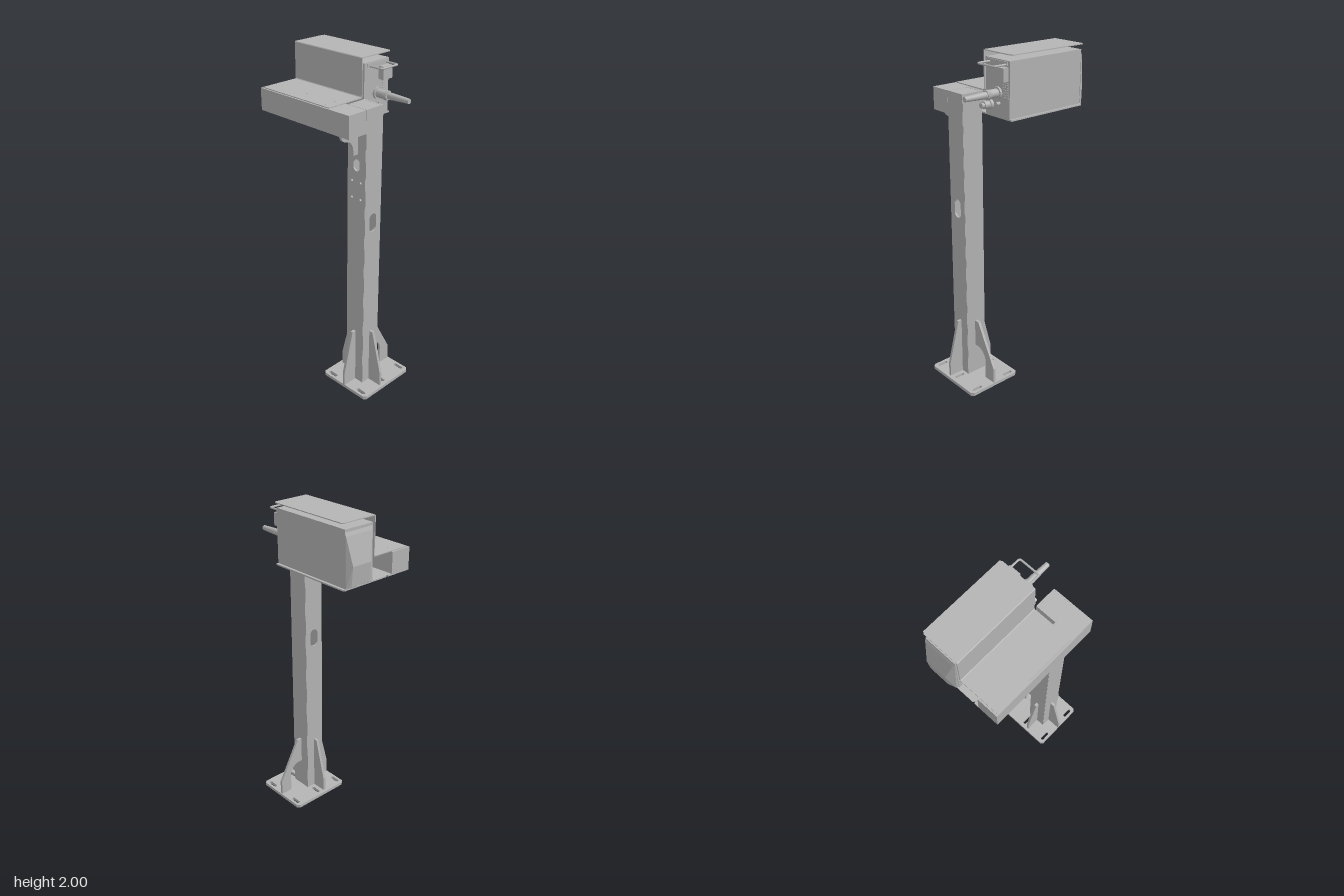
import * as THREE from 'three';
import { ConvexGeometry } from 'three/addons/geometries/ConvexGeometry.js';

export function createModel() {
  const root = new THREE.Group();
  root.name = 'postMountedUnit';
  const grey = new THREE.MeshStandardMaterial({ color: 0xb4b4b4, side: THREE.DoubleSide });
  grey.name = 'metal grey';

  const add = (name, geo, parent = root) => {
    const m = new THREE.Mesh(geo, grey);
    m.name = name;
    parent.add(m);
    return m;
  };
  const group = (name) => {
    const g = new THREE.Group();
    g.name = name;
    root.add(g);
    return g;
  };
  // box given by its extents
  const box = (name, x0, x1, y0, y1, z0, z1, parent) => add(name,
    new THREE.BoxGeometry(x1 - x0, y1 - y0, z1 - z0)
      .translate((x0 + x1) / 2, (y0 + y1) / 2, (z0 + z1) / 2), parent);
  const poly = (pts) => new THREE.Shape(pts.map(([a, b]) => new THREE.Vector2(a, b)));
  const rect = (a0, a1, b0, b1) => poly([[a0, b0], [a1, b0], [a1, b1], [a0, b1]]);
  const extrude = (shape, depth) =>
    new THREE.ExtrudeGeometry(shape, { depth, bevelEnabled: false, curveSegments: 12 });
  // plates drawn in (x,y), (z,y) and (x,z), starting at the low side
  const plateZ = (s, z0, d) => extrude(s, d).translate(0, 0, z0);
  const plateX = (s, x0, d) => extrude(s, d).rotateY(-Math.PI / 2).translate(x0 + d, 0, 0);
  const plateY = (s, y0, d) => extrude(s, d).rotateX(Math.PI / 2).translate(0, y0 + d, 0);
  // slot with round ends, w by h
  const slot = (cx, cy, w, h) => {
    const p = new THREE.Path(), r = Math.min(w, h) / 2, q = Math.PI / 2;
    if (w > h) {
      p.absarc(cx + w / 2 - r, cy, r, -q, q);
      p.absarc(cx - w / 2 + r, cy, r, q, 3 * q);
    } else {
      p.absarc(cx, cy + h / 2 - r, r, 0, 2 * q);
      p.absarc(cx, cy - h / 2 + r, r, 2 * q, 4 * q);
    }
    p.closePath();
    return p;
  };
  // cylinder lying along x
  const rod = (name, x0, x1, y, z, r0, r1, sides, parent) => add(name,
    new THREE.CylinderGeometry(r1, r0, x1 - x0, sides).rotateZ(-Math.PI / 2)
      .translate((x0 + x1) / 2, y, z), parent);

  const CX = 0.2375, CZ = 0.045; // column axis

  // Base plate with six slots
  const base = poly([[0.075, -0.197], [0.4, -0.197], [0.415, -0.182], [0.415, 0.187],
    [0.4, 0.202], [0.075, 0.202], [0.06, 0.187], [0.06, -0.182]]);
  for (const x of [0.118, 0.357])
    for (const z of [-0.17, 0.002, 0.175]) base.holes.push(slot(x, z, 0.067, 0.02));
  add('basePlate', plateY(base, 0, 0.02));

  // Hollow column
  const column = group('column');
  const front = rect(0.172, 0.303, 0.02, 1.78);
  front.holes.push(slot(CX, 1.455, 0.045, 0.07));
  for (const x of [0.205, 0.27])
    for (const y of [1.26, 1.36]) front.holes.push(slot(x, y, 0.015, 0.015));
  add('columnFront', plateZ(front, 0.1, 0.01), column);
  box('columnBack', 0.172, 0.303, 0.02, 1.78, -0.02, -0.01, column);
  const side = rect(-0.0185, 0.1085, 0.02, 1.78);
  side.holes.push(slot(CZ, 1.11, 0.055, 0.11));
  for (const x of [0.17, 0.295]) add('columnSide', plateX(side, x, 0.01), column);
  box('columnCap', 0.172, 0.303, 1.772, 1.779, -0.018, 0.108, column);

  // Gussets round the foot
  const gussets = group('gussets');
  for (const s of [-1, 1]) {
    const x = (d) => CX + s * d;
    add('sideGusset', plateZ(poly([[x(0.065), 0.02], [x(0.16), 0.02], [x(0.16), 0.11],
      [x(0.092), 0.38], [x(0.065), 0.38]]), CZ - 0.008, 0.016), gussets);
  }
  add('frontGusset', plateX(poly([[0.11, 0.02], [0.203, 0.02], [0.203, 0.11],
    [0.137, 0.38], [0.11, 0.38]]), CX - 0.008, 0.016), gussets);
  const rear = poly([[-0.02, 0.38], [-0.05, 0.38], [-0.192, 0.115], [-0.192, 0.02], [-0.115, 0.02]]);
  rear.lineTo(-0.115, 0.13);
  rear.absarc(-0.04, 0.135, 0.075, Math.PI, Math.PI / 2, true);
  rear.lineTo(-0.02, 0.21);
  add('rearGusset', plateX(rear, CX - 0.008, 0.016), gussets);

  // Cross arm and curved brace beneath it
  box('arm', -0.385, 0.305, 1.65, 1.779, 0.11, 0.24);
  const brace = poly([[0.11, 1.65], [0.11, 1.52], [0.143, 1.52], [0.143, 1.54]]);
  brace.quadraticCurveTo(0.15, 1.605, 0.195, 1.61);
  brace.quadraticCurveTo(0.23, 1.615, 0.235, 1.65);
  add('armBrace', plateX(brace, CX - 0.008, 0.016));

  // Tray carrying the housing
  add('tray', plateY(poly([[-0.375, -0.24], [0.152, -0.24], [0.152, 0.08], [0.157, 0.08],
    [0.157, 0.11], [-0.385, 0.11], [-0.385, 0.08], [-0.375, 0.08], [-0.385, 0.068],
    [-0.385, -0.23]]), 1.65, 0.008));

  // Bent sheet cover: lies on the arm, rises, folds over the housing
  add('coverSheet', plateX(poly([[0.23, 1.779], [0.23, 1.784], [-0.01, 1.784], [-0.014, 1.788],
    [-0.014, 1.996], [-0.018, 2], [-0.23, 2], [-0.23, 1.995], [-0.019, 1.995], [-0.019, 1.784],
    [-0.014, 1.779]]), -0.375, 0.527));
  add('coverLip', plateY(poly([[-0.375, -0.23], [0.152, -0.23], [0.143, -0.243],
    [-0.366, -0.243]]), 1.995, 0.005));
  for (const x of [-0.325, -0.113, 0.1])
    for (const z of [0.137, 0.205])
      add('coverScrew', new THREE.CylinderGeometry(0.004, 0.004, 0.002, 12).translate(x, 1.784, z));

  // Housing with a faceted nose
  box('housing', -0.375, 0.152, 1.658, 1.965, -0.225, -0.032);
  const nose = [[-0.375, 1.66, -0.228, -0.035], [-0.375, 1.95, -0.228, -0.035],
    [-0.388, 1.66, -0.228, -0.038], [-0.382, 1.93, -0.225, -0.045],
    [-0.415, 1.78, -0.205, -0.08], [-0.405, 1.67, -0.205, -0.08]];
  add('nose', new ConvexGeometry(nose.flatMap(([x, y, a, b]) =>
    [new THREE.Vector3(x, y, a), new THREE.Vector3(x, y, b)])));

  // Fan grille under the housing
  const fan = group('fan');
  for (const r of [0.078, 0.062, 0.048])
    add('fanRing', new THREE.TorusGeometry(r, 0.004, 6, 32).rotateX(Math.PI / 2)
      .translate(-0.25, 1.648, -0.135), fan);
  add('fanHub', new THREE.CylinderGeometry(0.032, 0.032, 0.008, 24).translate(-0.25, 1.647, -0.135), fan);
  for (let i = 0; i < 4; i++)
    add('fanSpoke', new THREE.BoxGeometry(0.155, 0.004, 0.005).rotateY(i * Math.PI / 4 + 0.4)
      .translate(-0.25, 1.648, -0.135), fan);

  // Connector panel on the end of the housing
  const panel = group('connectorPanel');
  const path = new THREE.CurvePath();
  const P = (x, z) => new THREE.Vector3(x, 1.945, z);
  path.add(new THREE.LineCurve3(P(0.15, -0.2), P(0.225, -0.2)));
  path.add(new THREE.QuadraticBezierCurve3(P(0.225, -0.2), P(0.24, -0.2), P(0.24, -0.185)));
  path.add(new THREE.LineCurve3(P(0.24, -0.185), P(0.24, -0.085)));
  path.add(new THREE.QuadraticBezierCurve3(P(0.24, -0.085), P(0.24, -0.07), P(0.225, -0.07)));
  path.add(new THREE.LineCurve3(P(0.225, -0.07), P(0.15, -0.07)));
  add('handle', new THREE.TubeGeometry(path, 60, 0.006, 8), panel);
  box('handlePlate', 0.152, 0.157, 1.94, 1.96, -0.21, -0.055, panel);
  box('socketBox', 0.152, 0.188, 1.86, 1.932, -0.216, -0.145, panel);
  for (let i = 0; i < 7; i++)
    box('vent', 0.152, 0.156, 1.765 + i * 0.013, 1.772 + i * 0.013, -0.215, -0.173, panel);
  rod('plugCollar', 0.152, 0.165, 1.787, -0.133, 0.033, 0.033, 24, panel);
  rod('plugBody', 0.165, 0.215, 1.787, -0.133, 0.024, 0.024, 16, panel);
  rod('plugNut', 0.215, 0.24, 1.787, -0.133, 0.028, 0.028, 6, panel);
  rod('cableNeck', 0.24, 0.265, 1.787, -0.135, 0.019, 0.019, 20, panel);
  rod('cableSleeve', 0.265, 0.382, 1.787, -0.136, 0.019, 0.014, 20, panel);
  rod('lowerCollar', 0.152, 0.17, 1.715, -0.073, 0.027, 0.027, 24, panel);
  rod('lowerPlug', 0.17, 0.205, 1.715, -0.073, 0.021, 0.021, 20, panel);
  rod('lowerTip', 0.205, 0.222, 1.715, -0.073, 0.015, 0.015, 20, panel);
  rod('smallPlug', 0.152, 0.175, 1.73, -0.142, 0.01, 0.01, 16, panel);

  return root;
}
